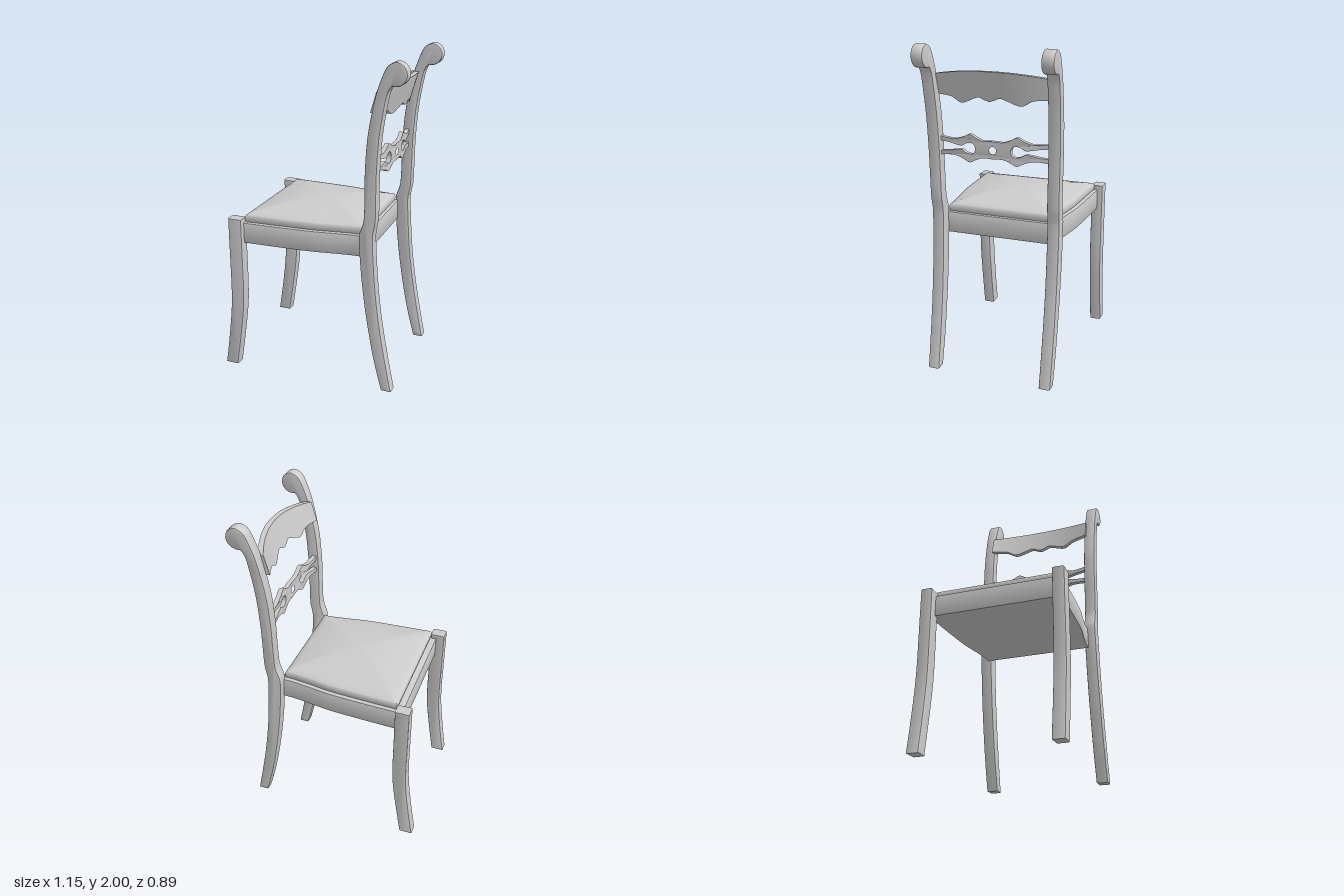
import * as THREE from 'three';
import { toCreasedNormals } from 'three/addons/utils/BufferGeometryUtils.js';

const wood = new THREE.MeshStandardMaterial({ color: 0xcccccc });
const v2 = (pts) => pts.map(([a, b]) => new THREE.Vector2(a, b));
const smooth = (pts, n = 32) => new THREE.SplineCurve(v2(pts)).getPoints(n);

function mesh(name, geometry, crease = 0.6) {
  const m = new THREE.Mesh(toCreasedNormals(geometry, crease), wood);
  m.name = name;
  return m;
}

// Slab of a 2D outline, with softly bevelled edges kept inside the outline
function slab(shape, depth, bevel) {
  const geo = new THREE.ExtrudeGeometry(shape, {
    depth: depth - 2 * bevel, steps: 1, curveSegments: 20,
    bevelEnabled: bevel > 0, bevelSize: bevel, bevelOffset: -bevel, bevelThickness: bevel, bevelSegments: 2,
  });
  return geo.translate(0, 0, -depth / 2 + bevel);
}

// Skin joining equal-sized loops of points, with both ends closed
function loft(rings) {
  const n = rings[0].length, pos = [], idx = [];
  rings.forEach((r) => r.forEach((p) => pos.push(...p)));
  for (let i = 0; i < rings.length - 1; i++) {
    for (let j = 0; j < n; j++) {
      const a = i * n + j, b = i * n + (j + 1) % n;
      idx.push(a, b, b + n, a, b + n, a + n);
    }
  }
  const last = (rings.length - 1) * n;
  for (let j = 1; j < n - 1; j++) idx.push(0, j + 1, j, last, last + j, last + j + 1);
  const geo = new THREE.BufferGeometry();
  geo.setAttribute('position', new THREE.Float32BufferAttribute(pos, 3));
  geo.setIndex(idx);
  geo.computeVertexNormals();
  return geo;
}

// Seat plan: straight front and back, sides that sweep in towards the back
function seatPlan(front, back, inset) {
  const side = smooth([[front, 0.41 - inset], [-0.2, 0.4 - inset], [0, 0.388 - inset],
    [0.15, 0.366 - inset], [0.25, 0.353 - inset], [back, 0.35 - inset]], 28);
  const far = side.map((p) => new THREE.Vector2(p.x, -p.y)).reverse();
  const pts = [...side];
  const edge = (x, w, dir) => {
    for (let i = 1; i < 12; i++) pts.push(new THREE.Vector2(x, dir * w * (1 - i / 6)));
  };
  edge(back, 0.35 - inset, 1);
  pts.push(...far);
  edge(front, 0.41 - inset, -1);
  return pts;
}

function frontLeg() {
  const front = smooth([[-0.575, 0], [-0.545, 0.2], [-0.521, 0.4], [-0.514, 0.55], [-0.514, 0.75], [-0.514, 1.005]]);
  const back = smooth([[-0.426, 1.005], [-0.426, 0.75], [-0.426, 0.55], [-0.434, 0.4], [-0.461, 0.2], [-0.492, 0]]);
  return slab(new THREE.Shape([...front, ...back]), 0.074, 0.008);
}

// Back leg and post in one piece, ending in a scroll and leaning slightly outwards
function backPost() {
  const front = smooth([[0.463, 0], [0.412, 0.2], [0.373, 0.4], [0.342, 0.6], [0.32, 0.8], [0.309, 0.98],
    [0.322, 1.04], [0.337, 1.1], [0.34, 1.25], [0.341, 1.4], [0.356, 1.6], [0.394, 1.8], [0.425, 1.9],
    [0.46, 1.975], [0.505, 2]], 60);
  const scroll = [];
  for (let i = 1; i <= 18; i++) {
    const a = Math.PI / 2 - (i / 18) * Math.PI * 1.08;
    scroll.push(new THREE.Vector2(0.506 + 0.066 * Math.cos(a), 1.934 + 0.066 * Math.sin(a)));
  }
  const back = smooth([[0.475, 1.852], [0.457, 1.8], [0.425, 1.6], [0.412, 1.4], [0.41, 1.25], [0.409, 1.1],
    [0.4, 1.04], [0.394, 0.98], [0.404, 0.8], [0.422, 0.6], [0.45, 0.4], [0.486, 0.2], [0.526, 0]], 56);
  const geo = slab(new THREE.Shape([...front, ...scroll, ...back]), 0.073, 0.008);
  const p = geo.attributes.position;
  for (let i = 0; i < p.count; i++) {
    p.setZ(i, p.getZ(i) + 0.364 + 0.014 * Math.max(0, p.getY(i) - 1));
  }
  return geo;
}

// Curved, tilted crest with a scalloped lower edge
function crest() {
  const half = smooth([[0, 1.688], [0.03, 1.698], [0.065, 1.712], [0.11, 1.695], [0.18, 1.67],
    [0.24, 1.7], [0.3, 1.706], [0.35, 1.706]], 28);
  const low = [...half.slice(1).reverse().map((p) => new THREE.Vector2(-p.x, p.y)), ...half];
  return loft(low.map(({ x: z, y: bottom }) => {
    const t = (z / 0.35) ** 2, top = 1.862 - 0.037 * t;
    const back = (y) => 0.495 - 0.07 * t - 0.28 * (1.862 - y);
    return [[back(bottom) - 0.032, bottom, z], [back(bottom), bottom, z],
      [back(top), top, z], [back(top) - 0.032, top, z]];
  }));
}

// Pierced middle splat: waisted outline, open slots at both ends, a round hole in the centre
function splat() {
  const outer = smooth([[0, 0.052], [0.06, 0.05], [0.1, 0.063], [0.145, 0.083], [0.19, 0.063],
    [0.24, 0.049], [0.29, 0.05], [0.34, 0.056]], 32);
  const slot = smooth([[0.34, 0.03], [0.28, 0.024], [0.23, 0.015], [0.195, 0.012], [0.165, 0.028],
    [0.135, 0.033], [0.115, 0.02], [0.108, 0]], 32);
  const flip = (pts, sx, sy) => pts.map((p) => new THREE.Vector2(p.x * sx, p.y * sy)).reverse();
  const right = [...outer, ...slot, ...flip(slot, 1, -1).slice(1), ...flip(outer, 1, -1)];
  const shape = new THREE.Shape([...right, ...flip(right, -1, 1).slice(1, -1)]);
  shape.holes.push(new THREE.Path().absarc(0, 0, 0.022, 0, Math.PI * 2, true));
  const geo = slab(shape, 0.028, 0).rotateY(Math.PI / 2).translate(0, 1.403, 0);
  const p = geo.attributes.position;
  for (let i = 0; i < p.count; i++) p.setX(i, p.getX(i) + 0.392 - 0.023 * (p.getZ(i) / 0.34) ** 2);
  return geo;
}

// Padded seat with a rounded rim and a gentle dome
function cushion() {
  const plan = seatPlan(-0.425, 0.308, 0.022), cx = -0.058;
  const rings = [[0.975, 0.965], [0.992, 0.978], [1, 0.99], [1, 1.003], [0.993, 1.014], [0.98, 1.021]];
  for (let i = 1; i <= 12; i++) {
    const s = 0.98 * (1 - i / 12) + 0.001;
    rings.push([s, 1.021 + 0.052 * (1 - (s / 0.98) ** 2)]);
  }
  return loft(rings.map(([s, y]) => plan.map((p) => [cx + (p.x - cx) * s, y, p.y * s])));
}

export function createModel() {
  const chair = new THREE.Group();
  chair.name = 'chair';

  // Legs and posts, mirrored across z
  for (const side of [1, -1]) {
    const leg = mesh('frontLeg', frontLeg());
    leg.position.z = side * 0.407;
    chair.add(leg);
    const geo = backPost();
    if (side < 0) {
      const p = geo.attributes.position;
      for (let i = 0; i < p.count; i += 3) {
        // swap two corners so the mirrored faces still point outwards
        const a = new THREE.Vector3().fromBufferAttribute(p, i);
        const b = new THREE.Vector3().fromBufferAttribute(p, i + 1);
        p.setXYZ(i, b.x, b.y, b.z);
        p.setXYZ(i + 1, a.x, a.y, a.z);
      }
      geo.scale(1, 1, -1);
    }
    chair.add(mesh('backPost', geo));
  }

  // Seat
  const frame = slab(new THREE.Shape(seatPlan(-0.46, 0.325, 0)), 0.13, 0.004);
  chair.add(mesh('seatFrame', frame.rotateX(Math.PI / 2).translate(0, 0.91, 0)));
  chair.add(mesh('seatCushion', cushion(), 1));

  // Back
  chair.add(mesh('crestRail', crest()));
  chair.add(mesh('middleSplat', splat()));
  return chair;
}
